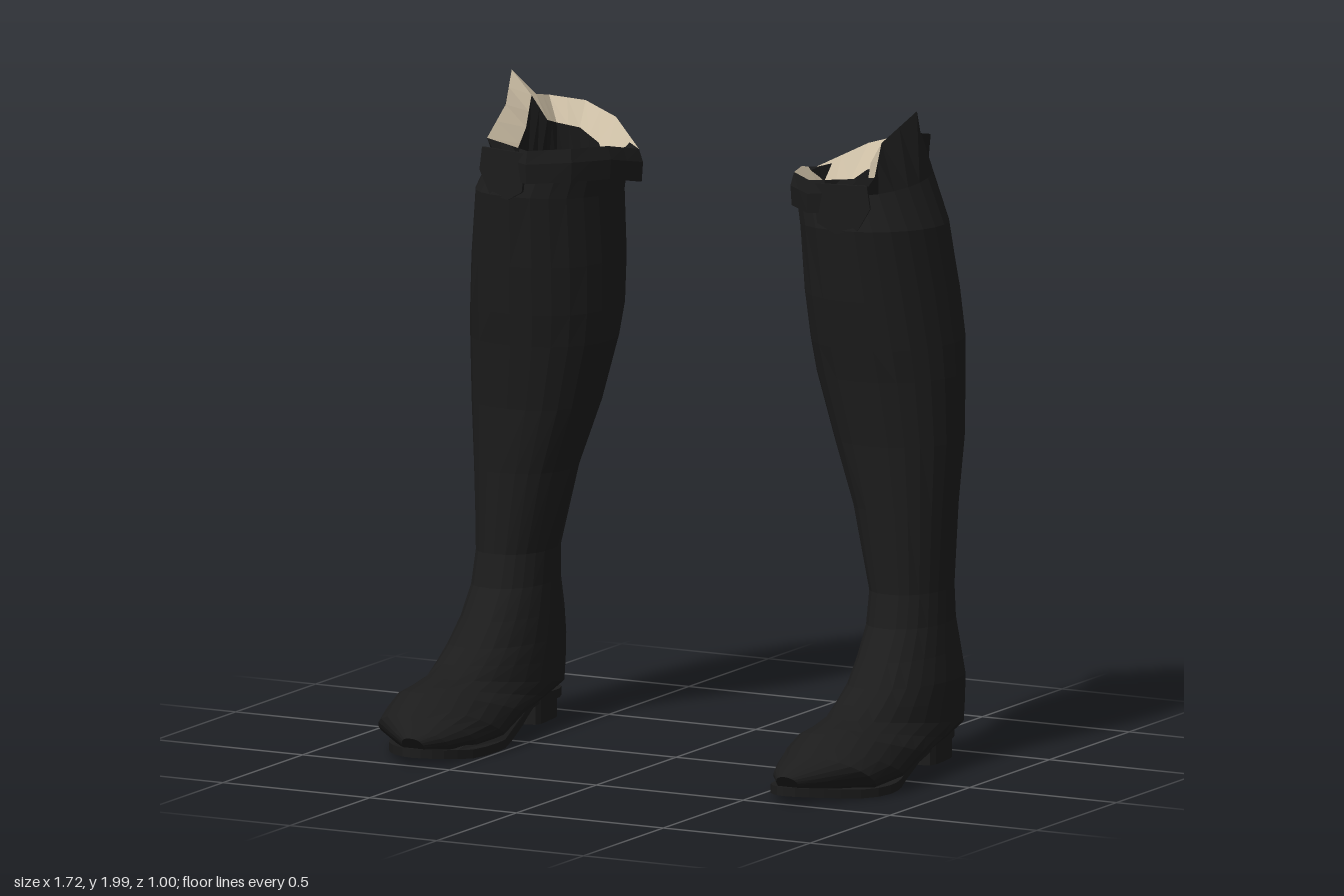
import * as THREE from 'three';

const SIDES = 24;

// Joins rings of [x, y, z] points, listed top to bottom, with an optional end cap
function loft(rings, { flip = false, cap = false, from = 0, to = SIDES } = {}) {
  const pos = rings.flat(2), idx = [];
  const tri = (a, b, c) => (flip ? idx.push(a, c, b) : idx.push(a, b, c));
  for (let r = 0; r < rings.length - 1; r++) {
    for (let i = from; i < to; i++) {
      const a = r * SIDES + i, b = r * SIDES + ((i + 1) % SIDES);
      tri(a, b, a + SIDES);
      tri(b, b + SIDES, a + SIDES);
    }
  }
  if (cap) {
    const last = rings[rings.length - 1], base = (rings.length - 1) * SIDES;
    pos.push(...[0, 1, 2].map((k) => last.reduce((s, p) => s + p[k], 0) / SIDES));
    for (let i = 0; i < SIDES; i++) tri(base + i, base + ((i + 1) % SIDES), rings.length * SIDES);
  }
  const g = new THREE.BufferGeometry();
  g.setAttribute('position', new THREE.Float32BufferAttribute(pos, 3));
  g.setIndex(idx);
  g.computeVertexNormals();
  return g;
}

// Oval ring between a back and a front point; bias pushes the widest part to the back or sole
function ring([yb, zb, yf, zf, xIn, xOut, bias = 1]) {
  return Array.from({ length: SIDES }, (_, i) => {
    const a = (i / SIDES) * Math.PI * 2, s = Math.sin(a);
    const t = Math.pow((1 - Math.cos(a)) / 2, bias);
    const w = Math.sign(s) * Math.pow(Math.abs(s), 0.85);
    return [(xIn + xOut) / 2 + ((xOut - xIn) / 2) * w, yb + (yf - yb) * t, zb + (zf - zb) * t];
  });
}

// Ragged top edge: back, outer side with peak, front, inner side
const edge = [
  [0.55, 1.885, -0.445], [0.65, 1.9, -0.4], [0.64, 1.92, -0.3], [0.69, 2.0, -0.24],
  [0.64, 1.92, -0.11], [0.66, 1.83, -0.03], [0.56, 1.82, 0.0], [0.48, 1.82, 0.05],
  [0.38, 1.82, -0.04], [0.33, 1.81, -0.18], [0.3, 1.78, -0.32], [0.43, 1.85, -0.415],
];
const rim = edge.flatMap((p, i) => {
  const q = edge[(i + 1) % edge.length];
  return [p, p.map((v, k) => (v + q[k]) / 2)];
});

// Each row: back y, back z, front y, front z, inner x, outer x, bias
const body = [
  [1.8, -0.47, 1.77, 0.01, 0.325, 0.705],
  [1.64, -0.485, 1.67, 0.03, 0.345, 0.76],
  [1.45, -0.497, 1.45, 0.0, 0.345, 0.79],
  [1.3, -0.5, 1.3, -0.025, 0.355, 0.805],
  [1.2, -0.48, 1.2, -0.045, 0.37, 0.81],
  [1.0, -0.455, 1.0, -0.073, 0.425, 0.81],
  [0.8, -0.42, 0.8, -0.085, 0.495, 0.797],
  [0.55, -0.4, 0.55, -0.09, 0.555, 0.785],
  [0.45, -0.405, 0.45, -0.065, 0.555, 0.79],
  [0.36, -0.435, 0.36, 0.0, 0.55, 0.8],
  [0.27, -0.455, 0.29, 0.07, 0.545, 0.815],
  [0.19, -0.455, 0.25, 0.14, 0.54, 0.82],
  [0.12, -0.43, 0.22, 0.21, 0.535, 0.825, 1.1],
  [0.09, -0.3, 0.205, 0.28, 0.53, 0.835, 1.1],
  [0.07, -0.1, 0.195, 0.32, 0.51, 0.855, 1.25],
  [0.03, 0.08, 0.165, 0.37, 0.5, 0.86, 1.4],
  [0.02, 0.24, 0.14, 0.41, 0.52, 0.84, 1.4],
  [0.025, 0.36, 0.11, 0.46, 0.555, 0.745, 1.2],
  [0.035, 0.45, 0.09, 0.495, 0.6, 0.675],
];

// Underside height along the foot
const archPoints = [[-0.45, 0.085], [-0.18, 0.085], [-0.05, 0.045], [0.1, 0.008], [0.3, 0.008], [0.52, 0.035]];
function archY(z) {
  const i = Math.max(1, archPoints.findIndex((p) => p[0] >= z));
  const [a, b] = [archPoints[i - 1], archPoints[i]];
  return THREE.MathUtils.mapLinear(z, a[0], b[0], a[1], b[1]);
}

// Upright slab from a closed smooth outline of [x, z] points
function slab(outline, height, divisions) {
  const curve = new THREE.CatmullRomCurve3(outline.map(([x, z]) => new THREE.Vector3(x, -z, 0)), true);
  const pts = curve.getPoints(divisions).slice(0, -1).map((p) => new THREE.Vector2(p.x, p.y));
  const g = new THREE.ExtrudeGeometry(new THREE.Shape(pts), { depth: height, bevelEnabled: false });
  return g.rotateX(-Math.PI / 2);
}

function createBoot(leather, lining) {
  const boot = new THREE.Group();
  const add = (name, geometry, material) => {
    const mesh = new THREE.Mesh(geometry, material);
    mesh.name = name;
    boot.add(mesh);
    return mesh;
  };

  // Shaft and foot in one skin
  add('shaftAndFoot', loft([rim, ...body.map(ring)], { cap: true }), leather);

  // Pale lining sloping inwards, then the dark inside
  const lip = rim.map(([x, y, z]) => [0.5 + (x - 0.5) * 0.62, y - 0.07, -0.21 + (z + 0.21) * 0.7]);
  add('lining', loft([rim, lip], { flip: true }), lining);
  const inside = [
    lip,
    ring([1.62, -0.4, 1.62, -0.05, 0.42, 0.66]),
    ring([1.3, -0.4, 1.3, -0.12, 0.46, 0.7]),
  ];
  add('inside', loft(inside, { flip: true, cap: true }), leather);

  // Turned-down collar along the front and inner side
  const collar = [[0, 0], [0.012, 0.04], [0.008, 0.1]].map(([out, drop]) => rim.map(([x, y, z]) => {
    const d = Math.hypot(x - 0.5, z + 0.21);
    return [x + ((x - 0.5) / d) * out, y - drop, z + ((z + 0.21) / d) * out];
  }));
  add('collarFold', loft(collar, { from: 13, to: 21 }), leather);

  // Small tab on the front
  const tab = new THREE.Shape([[-0.09, 0.07], [-0.075, -0.05], [-0.02, -0.08], [0.05, -0.07], [0.09, 0], [0.08, 0.07]]
    .map(([x, y]) => new THREE.Vector2(x, y)));
  const tabMesh = add('frontTab', new THREE.ExtrudeGeometry(tab, { depth: 0.009, bevelEnabled: false }), leather);
  tabMesh.position.set(0.575, 1.74, 0.018);
  tabMesh.rotation.y = 0.2;

  // Sole bent along the arch
  const sole = slab([
    [0.67, -0.41], [0.765, -0.34], [0.775, -0.16], [0.81, 0.05], [0.84, 0.22], [0.745, 0.41],
    [0.635, 0.495], [0.55, 0.42], [0.51, 0.2], [0.54, 0.0], [0.575, -0.18], [0.575, -0.34],
  ], 0.027, 40);
  const p = sole.attributes.position;
  for (let i = 0; i < p.count; i++) p.setY(i, p.getY(i) + archY(p.getZ(i)));
  sole.computeVertexNormals();
  add('sole', sole, leather);

  // Low heel block
  const heel = slab([
    [0.67, -0.39], [0.75, -0.35], [0.768, -0.27], [0.765, -0.185], [0.67, -0.18],
    [0.58, -0.185], [0.577, -0.27], [0.595, -0.35],
  ], 0.085, 24);
  add('heel', heel.translate(0, 0.022, 0), leather);

  // Worn spot under the arch
  const spot = add('wornSpot', new THREE.CircleGeometry(0.022, 5), lining);
  spot.rotation.x = Math.PI / 2 + 0.24;
  spot.position.set(0.67, 0.023, 0.02);
  return boot;
}

export function createModel() {
  const leather = new THREE.MeshStandardMaterial({ color: 0x1c1c1c, flatShading: true, side: THREE.DoubleSide });
  leather.name = 'black leather';
  const lining = new THREE.MeshStandardMaterial({ color: 0xcbbda4, flatShading: true, side: THREE.DoubleSide });
  lining.name = 'cream lining';

  const model = new THREE.Group();
  model.name = 'ridingBoots';
  for (const side of [1, -1]) {
    const boot = createBoot(leather, lining);
    boot.name = side > 0 ? 'leftBoot' : 'rightBoot';
    boot.scale.x = side;
    model.add(boot);
  }
  return model;
}
